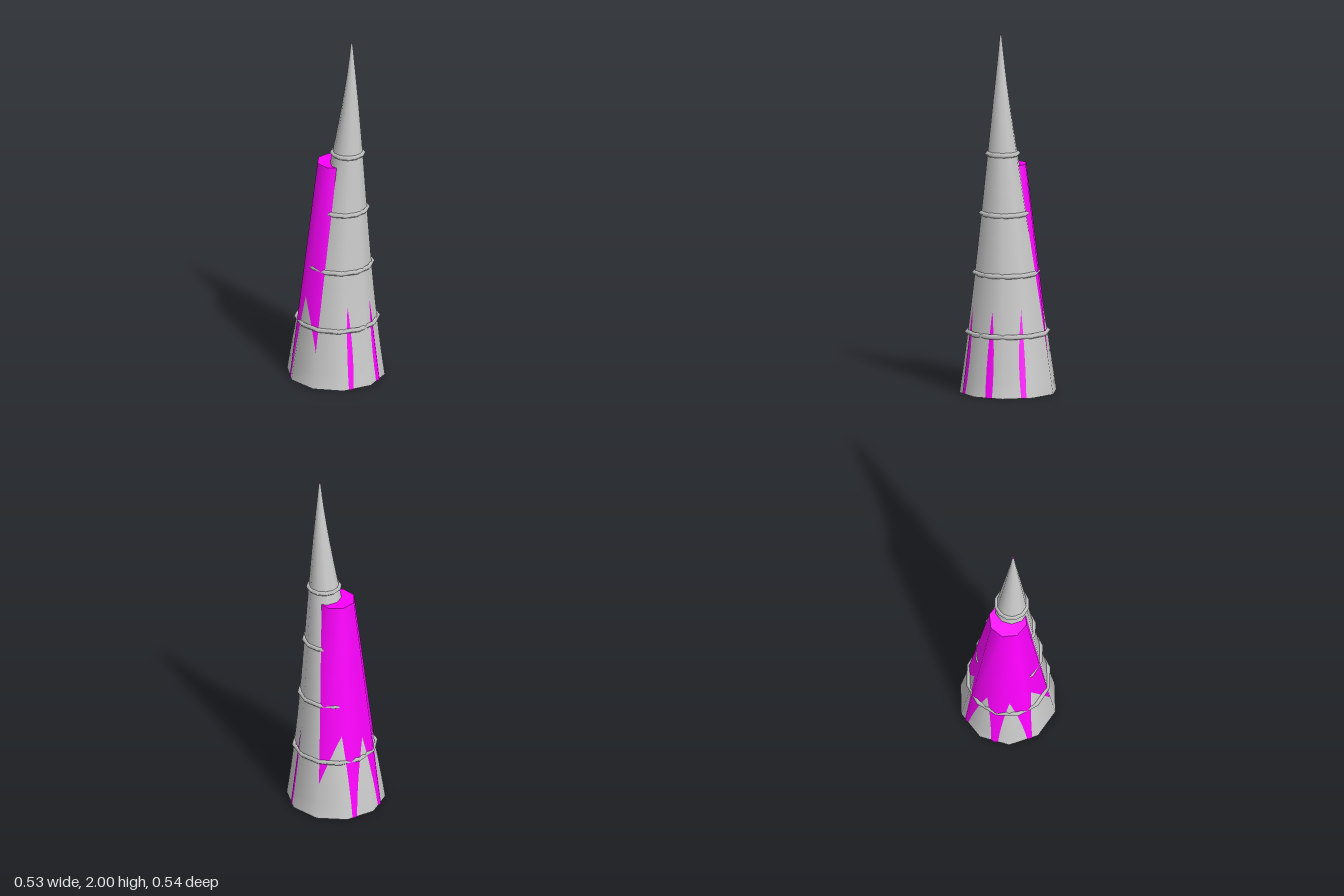
import * as THREE from 'three';
import { mergeVertices } from 'three/addons/utils/BufferGeometryUtils.js';

const HEIGHT = 2;
const BASE = 0.272;
const TIP = 0.005;
const LEAN = 0.097;

// Horn radius and sideways drift at a height fraction t
const radiusAt = t => TIP + (BASE - TIP) * Math.pow(1 - t, 1.1);
const driftAt = t => LEAN * t * t * (3 - 2 * t);

export function createModel() {
  const group = new THREE.Group();
  const grey = new THREE.MeshStandardMaterial({ color: 0xcccccc });
  const magenta = new THREE.MeshStandardMaterial({ color: 0xff00ff });

  const add = (name, geometry, material, x = 0, y = 0) => {
    const mesh = new THREE.Mesh(geometry, material);
    mesh.name = name;
    mesh.position.set(x, y, 0);
    group.add(mesh);
    return mesh;
  };

  // Ten-sided horn: a unit cylinder tapered and bent towards +x
  let horn = new THREE.CylinderGeometry(1, 1, HEIGHT, 10, 24, true);
  horn.translate(0, HEIGHT / 2, 0);
  const p = horn.attributes.position;
  for (let i = 0; i < p.count; i++) {
    const t = p.getY(i) / HEIGHT;
    const r = radiusAt(t);
    p.setXYZ(i, p.getX(i) * r + driftAt(t), p.getY(i), p.getZ(i) * r);
  }
  horn.deleteAttribute('uv');
  horn.deleteAttribute('normal');
  horn = mergeVertices(horn);
  horn.computeVertexNormals();
  add('horn', horn, grey);

  // Coloured end caps of the horn
  const disc = r => new THREE.CircleGeometry(r, 10, Math.PI / 2);
  add('baseCap', disc(BASE).rotateX(Math.PI / 2), magenta);
  add('tipCap', disc(TIP).rotateX(-Math.PI / 2), magenta, LEAN, HEIGHT);

  // Straight eight-sided core that shows through the bent horn
  const coreHeight = 1.27;
  add('core', new THREE.CylinderGeometry(0.107, 0.267, coreHeight, 8), magenta, 0, coreHeight / 2);

  // Ridge rings at every sixth of the height
  for (let i = 1; i <= 4; i++) {
    const t = i / 6;
    const ring = new THREE.TorusGeometry(radiusAt(t), 0.014, 4, 12).rotateX(Math.PI / 2);
    add('ridgeRing' + i, ring, grey, driftAt(t), t * HEIGHT + 0.003);
  }

  return group;
}
